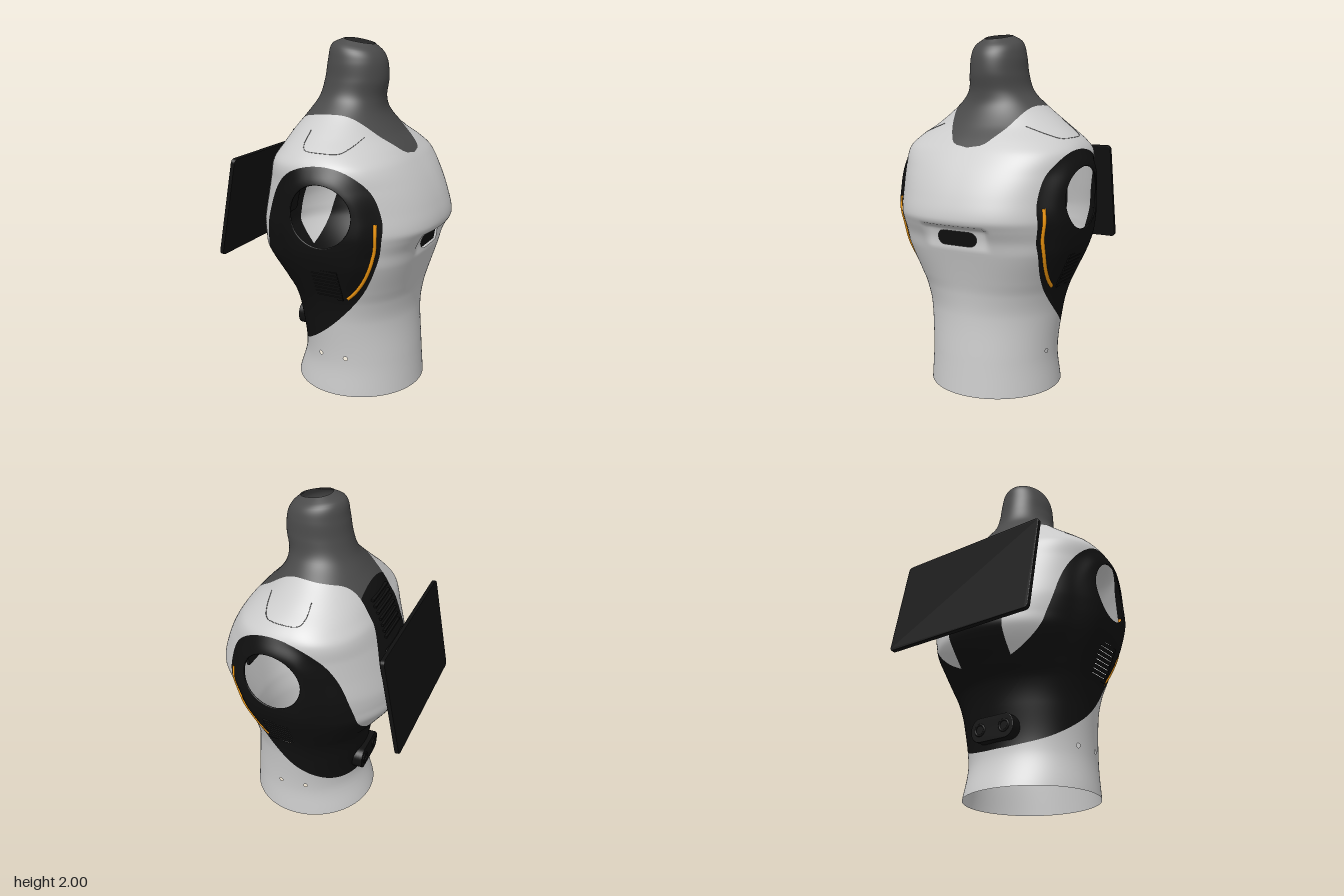
import * as THREE from 'three';
import { mergeVertices } from 'three/addons/utils/BufferGeometryUtils.js';

const { smoothstep } = THREE.MathUtils;
const mat = (color) => new THREE.MeshStandardMaterial({ color, side: THREE.DoubleSide });
const shellMat = mat(0xcccccc), darkMat = mat(0x101010), neckMat = mat(0x4a4a4a);
const amberMat = mat(0xf59a10), seamMat = mat(0x666666);

// Cross-sections: y, back x, front x, half depth z, x of widest point, front and back roundness
const ROWS = [
  [0, -.282, .472, .385, .095, 2, 2], [.2, -.225, .457, .375, .1, 2, 2], [.45, -.25, .44, .4, .08, 2, 2],
  [.58, -.285, .45, .425, .06, 2.2, 2], [.66, -.345, .467, .448, .05, 2.4, 2], [.82, -.455, .51, .5, .04, 2.65, 2.1],
  [.9, -.462, .535, .522, .04, 2.5, 2.1], [.97, -.457, .572, .532, .04, 2.45, 2.15], [1.02, -.445, .594, .536, .04, 2.4, 2.2],
  [1.13, -.415, .565, .536, .04, 2.4, 2.25], [1.25, -.378, .508, .536, .04, 2.5, 2.35], [1.36, -.342, .435, .534, .03, 2.6, 2.45],
  [1.42, -.315, .383, .495, .02, 2.35, 2.2], [1.5, -.278, .304, .395, .01, 2, 2], [1.6, -.205, .236, .268, .01, 2, 2],
  [1.68, -.155, .224, .19, .03, 2, 2], [1.78, -.125, .24, .165, .055, 2, 2], [1.88, -.108, .232, .155, .06, 2, 2],
  [1.96, -.085, .205, .13, .06, 2, 2], [2, -.015, .165, .075, .05, 2, 2],
];

// Smooth interpolation of a sorted table at position t
function sample(table, t) {
  let i = 0;
  while (i < table.length - 2 && t > table[i + 1][0]) i++;
  const last = table.length - 1, h = table[i + 1][0] - table[i][0], s = (t - table[i][0]) / h;
  const slope = (j, k) => {
    const a = table[Math.max(j - 1, 0)], b = table[Math.min(j + 1, last)];
    return (b[k] - a[k]) / (b[0] - a[0]);
  };
  return table[i].map((v, k) => {
    const w = table[i + 1][k], m = slope(i, k) * h, n = slope(i + 1, k) * h;
    return v + m * s + (3 * (w - v) - 2 * m - n) * s * s + (2 * (v - w) + m + n) * s ** 3;
  });
}

// Point on the torso at an angle around and a height
function torsoPoint(angle, y) {
  const [, back, front, depth, xc, roundF, roundB] = sample(ROWS, y);
  const c = Math.cos(angle), s = Math.sin(angle), n = c > 0 ? roundF : roundB;
  const pow = (v) => Math.sign(v) * Math.abs(v) ** (2 / n);
  let x = xc + pow(c) * (c > 0 ? front - xc : xc - back);
  const z = pow(s) * depth;
  // hand-grip recess in the chest: a ramp that deepens up to an overhanging lip
  if (x > .3) {
    x -= .036 * (1 - smoothstep(Math.abs(z), .16, .215))
      * THREE.MathUtils.clamp((y - .85) / .1, 0, 1) * (1 - smoothstep(y, .965, .988));
  }
  return new THREE.Vector3(x, y - .17 * (x + .02) * smoothstep(y, 1.85, 2), z);
}

// Outline of the side panel, seen from the side; its lower end wraps round the back
const outline = new THREE.Shape().moveTo(-.8, .215).lineTo(-.22, .225);
outline.splineThru([[-.1, .285], [.1, .44], [.27, .63], [.37, .82], [.415, 1], [.41, 1.12], [.35, 1.26],
  [.23, 1.355], [.08, 1.38], [-.07, 1.34], [-.18, 1.24], [-.26, 1.08], [-.31, .88], [-.338, .64]]
  .map(([x, y]) => new THREE.Vector2(x, y)));
outline.lineTo(-.36, .61).lineTo(-.8, .61);
const panelPts = outline.getPoints(5);

// Signed distance to the panel outline, positive inside
function panelDist(p) {
  let best = Infinity, inside = false;
  panelPts.forEach((a, i) => {
    const b = panelPts[(i + 1) % panelPts.length], ex = b.x - a.x, ey = b.y - a.y;
    const px = p.x - a.x, py = p.y - a.y;
    const t = THREE.MathUtils.clamp((px * ex + py * ey) / (ex * ex + ey * ey || 1), 0, 1);
    best = Math.min(best, Math.hypot(px - t * ex, py - t * ey));
    if ((a.y > p.y) !== (b.y > p.y) && px < ex * py / ey) inside = !inside;
  });
  return inside ? best : -best;
}
const bulge = (p) => .032 * smoothstep(panelDist(p), 0, .1) * smoothstep(p.y, .5, .95) * smoothstep(p.x, -.2, -.04);

// Depth of the torso side at x, y, with the panel's swelling
function sideZ(x, y) {
  const [, back, front, depth, xc, roundF, roundB] = sample(ROWS, y);
  const n = x > xc ? roundF : roundB, t = Math.abs(x - xc) / (x > xc ? front - xc : xc - back);
  return depth * Math.max(0, 1 - t ** n) ** (1 / n) + bulge({ x, y });
}

// Region functions, positive inside
const roundRect = (u, v, hu, hv, r) => {
  const du = Math.abs(u) - hu + r, dv = Math.abs(v) - hv + r;
  return r - Math.hypot(Math.max(du, 0), Math.max(dv, 0)) - Math.min(Math.max(du, dv), 0);
};
const HOLE = { x: .11, y: 1.12, r: .175 };
const holes = (p) => Math.max(
  HOLE.r - Math.hypot(p.x - HOLE.x, p.y - HOLE.y) - (Math.abs(p.z) < .3 ? 9 : 0),
  roundRect(p.x - .11, p.y - .715, .075, .095, .03) - (Math.abs(p.z) < .3 ? 9 : 0),
  .013 - Math.hypot(p.x - .01, p.y - .235),
  .013 - Math.hypot(p.x - .17, p.y - .235),
  p.x > .3 ? roundRect(p.z, p.y - .91, .122, .04, .04) : -1);
const spine = (p) => Math.min(.17 + .05 * Math.exp(-(((p.y - 1.08) / .2) ** 2)) - Math.abs(p.z),
  -.25 - p.x, p.y - .225);
const NECK = [[-.3, .165], [-.2, .18], [-.1, .24], [-.02, .262], [.08, .25], [.25, .19], [.36, .125], [.4, .075], [.415, -.02]];
const neck = (p) => Math.min(sample(NECK, THREE.MathUtils.clamp(p.x, -.3, .43))[1] - Math.abs(p.z), p.y - 1.3);

// Cut triangles along f = 0 into [inside, outside]
function split(tris, f) {
  const out = [[], []];
  for (const tri of tris) {
    const d = tri.map(f);
    [1, -1].forEach((sign, k) => {
      const poly = [];
      tri.forEach((a, i) => {
        const j = (i + 1) % 3;
        if (d[i] * sign >= 0) poly.push(a);
        if (d[i] * d[j] < 0) poly.push(a.clone().lerp(tri[j], d[i] / (d[i] - d[j])));
      });
      for (let i = 2; i < poly.length; i++) out[k].push([poly[0], poly[i - 1], poly[i]]);
    });
  }
  return out;
}

function trisToGeometry(tris) {
  const merged = mergeVertices(new THREE.BufferGeometry().setFromPoints(tris.flat()), 1e-5);
  merged.computeVertexNormals();
  return merged;
}

export function createModel() {
  const model = new THREE.Group();
  model.name = 'torso';
  const add = (name, geometry, material, pos = [0, 0, 0], rot = [0, 0, 0]) => {
    const mesh = new THREE.Mesh(geometry, material);
    mesh.name = name;
    mesh.position.set(...pos);
    mesh.rotation.set(...rot);
    model.add(mesh);
  };

  // Whole skin, then cut into its coloured parts
  const U = 200, V = 170, grid = [], skin = [];
  for (let j = 0; j <= V; j++) {
    grid.push(Array.from({ length: U }, (_, i) => torsoPoint(i / U * Math.PI * 2, j / V * 2)));
  }
  for (let j = 0; j < V; j++) for (let i = 0; i < U; i++) {
    const k = (i + 1) % U, a = grid[j][i], b = grid[j + 1][i], c = grid[j + 1][k], d = grid[j][k];
    skin.push([a, b, c], [a, c, d]);
  }
  const solid = split(skin, holes)[1];
  const [spineTris, rest] = split(solid, spine);
  const [panelTris, rest2] = split(rest, panelDist);
  const [neckTris, shellTris] = split(rest2, neck);
  const swollen = panelTris.map((t) => t.map((p) => {
    const q = p.clone();
    q.z += Math.sign(p.z) * bulge(p);
    return q;
  }));
  add('bodyShell', trisToGeometry(shellTris), shellMat);
  add('neck', trisToGeometry(neckTris), neckMat);
  add('sidePanels', trisToGeometry(swollen), darkMat);
  add('backSpine', trisToGeometry(spineTris), darkMat);

  // Details on both sides, following the surface
  const onSide = (pts, side, lift) => new THREE.CatmullRomCurve3(
    pts.map(([x, y]) => new THREE.Vector3(x, y, side * (sideZ(x, y) + lift))));
  for (const side of [1, -1]) {
    add('lightStrip', new THREE.TubeGeometry(onSide([[.384, 1.09], [.386, 1.02], [.375, .93], [.345, .83],
      [.3, .74], [.25, .67], [.21, .63]], side, -.006), 40, .012, 8), amberMat);
    add('shoulderSeam', new THREE.TubeGeometry(onSide([[-.045, 1.53], [-.043, 1.47], [-.02, 1.445], [.08, 1.438],
      [.17, 1.438], [.205, 1.46], [.23, 1.5]], side, 0), 40, .002, 5), seamMat);
    const ring = Array.from({ length: 48 }, (_, i) => {
      const a = i / 24 * Math.PI;
      return [HOLE.x + HOLE.r * Math.cos(a), HOLE.y + HOLE.r * Math.sin(a)];
    });
    const rim = onSide(ring, side, -.006);
    rim.closed = true;
    add('armHoleRim', new THREE.TubeGeometry(rim, 64, .005, 6, true), darkMat);
    for (let i = 0; i < 8; i++) {
      const y = .63 + i * .0243, lean = Math.atan((sideZ(.11, y + .01) - sideZ(.11, y - .01)) / .02);
      add('ventSlat', new THREE.BoxGeometry(.165, .0215, .006), darkMat,
        [.11, y, side * (sideZ(.11, y) - .004)], [side * lean, 0, 0]);
    }
  }

  // Dark pocket behind the chest grip
  add('gripPocket', new THREE.BoxGeometry(.02, .1, .27), darkMat, [.488, .91, 0], [0, 0, -.15]);

  // Cooling ribs on the upper back
  for (let i = 0; i < 7; i++) {
    const y = 1.26 + i * .035;
    add('backRib', new THREE.BoxGeometry(.018, .012, .22), darkMat, [sample(ROWS, y)[1] - .001, y, 0]);
  }

  // Rounded slab standing across the back
  const slab = (width, height, thick, r) => {
    const w = width / 2, h = height / 2, s = new THREE.Shape();
    s.absarc(w - r, h - r, r, 0, Math.PI / 2).absarc(r - w, h - r, r, Math.PI / 2, Math.PI);
    s.absarc(r - w, r - h, r, Math.PI, Math.PI * 1.5).absarc(w - r, r - h, r, Math.PI * 1.5, Math.PI * 2);
    const b = .004;
    return new THREE.ExtrudeGeometry(s, { depth: thick - 2 * b, bevelSize: b, bevelOffset: -b, bevelThickness: b,
      bevelSegments: 2, curveSegments: 8 }).translate(0, 0, b - thick / 2).rotateY(-Math.PI / 2);
  };
  const tilt = [0, 0, -.19];
  add('screen', slab(.94, .59, .025, .025), darkMat, [-.533, 1.06, 0], tilt);
  add('screenMount', slab(.3, .29, .05, .03), darkMat, [-.438, 1.055, 0], tilt);
  add('mountFoot', slab(.2, .09, .05, .03), darkMat, [-.466, .94, 0], tilt);

  // Connector housing low on the back
  add('connectorHousing', slab(.28, .135, .08, .06), darkMat, [-.23, .328, 0]);
  for (const side of [1, -1]) {
    add('connectorSocket', new THREE.TorusGeometry(.03, .006, 8, 20), darkMat,
      [-.27, .328, side * .08], [0, Math.PI / 2, 0]);
  }
  return model;
}
